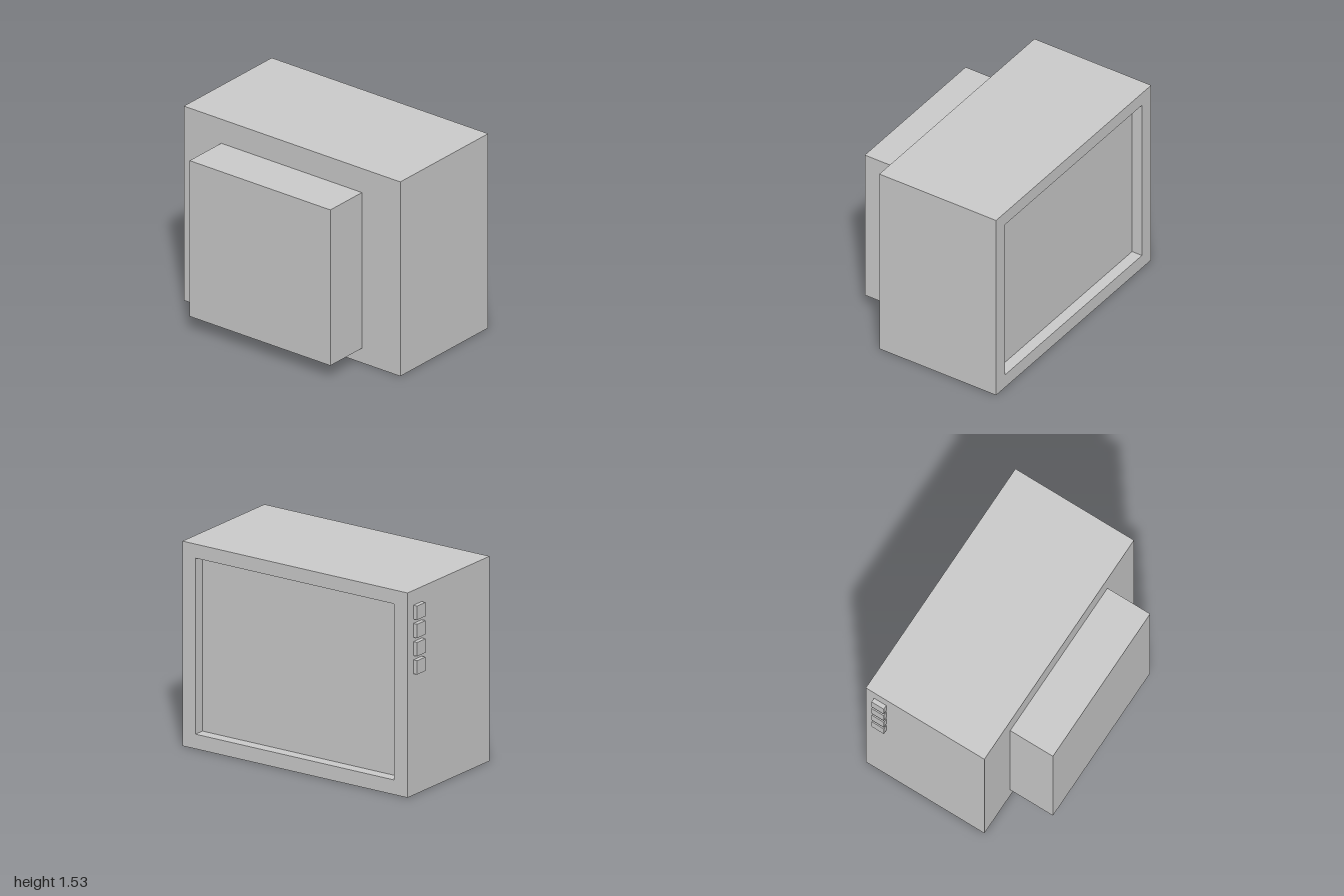
import * as THREE from 'three';

const grey = new THREE.MeshStandardMaterial({ color: 0xcccccc });
grey.name = 'light grey';

// Box geometry from its min and max corners
function boxBetween([x0, y0, z0], [x1, y1, z1]) {
  return new THREE.BoxGeometry(x1 - x0, y1 - y0, z1 - z0)
    .translate((x0 + x1) / 2, (y0 + y1) / 2, (z0 + z1) / 2);
}

// Box without its +x face; inward turns it into a cavity
function openBox(min, max, inward = false) {
  const geo = boxBetween(min, max);
  let index = Array.from(geo.index.array).slice(6);
  if (inward) index = index.reverse();
  geo.clearGroups();
  geo.setIndex(index);
  const flat = geo.toNonIndexed();
  flat.computeVertexNormals();
  return flat;
}

// Rectangle outline in the plane of the screen (shape x is -z)
function rectangle(target, y0, z0, y1, z1) {
  target.moveTo(-z1, y0);
  target.lineTo(-z0, y0);
  target.lineTo(-z0, y1);
  target.lineTo(-z1, y1);
  target.closePath();
  return target;
}

export function createModel() {
  const model = new THREE.Group();
  model.name = 'television';
  const add = (name, geo, parent = model) => {
    const mesh = new THREE.Mesh(geo, grey);
    mesh.name = name;
    parent.add(mesh);
  };

  const front = 0.68, back = -0.32, depth = 0.085;
  const top = 1.535, zMin = -0.967, zMax = 1;
  const screen = { y0: 0.11, z0: -0.85, y1: 1.43, z1: 0.885 };

  // Main casing, open towards the screen side
  add('casing', openBox([back, 0, zMin], [front, top, zMax]));

  // Flat bezel around the screen opening
  const frame = rectangle(new THREE.Shape(), 0, zMin, top, zMax);
  frame.holes.push(rectangle(new THREE.Path(), screen.y0, screen.z0, screen.y1, screen.z1));
  add('bezel', new THREE.ShapeGeometry(frame).rotateY(Math.PI / 2).translate(front, 0, 0));

  // Recess walls and the sunken screen
  add('screenRecess', openBox(
    [front - depth, screen.y0, screen.z0], [front, screen.y1, screen.z1], true));

  // Smaller housing behind the casing
  add('rearHousing', boxBetween([-0.68, 0.115, -0.627], [back, 1.345, 0.652]));

  // Column of four buttons on the side
  const buttons = new THREE.Group();
  buttons.name = 'buttons';
  for (let i = 0; i < 4; i++) {
    const y = 0.91 + i * 0.1367;
    add('button' + (i + 1), boxBetween([0.507, y, -1], [0.61, y + 0.104, zMin]), buttons);
  }
  model.add(buttons);

  return model;
}
